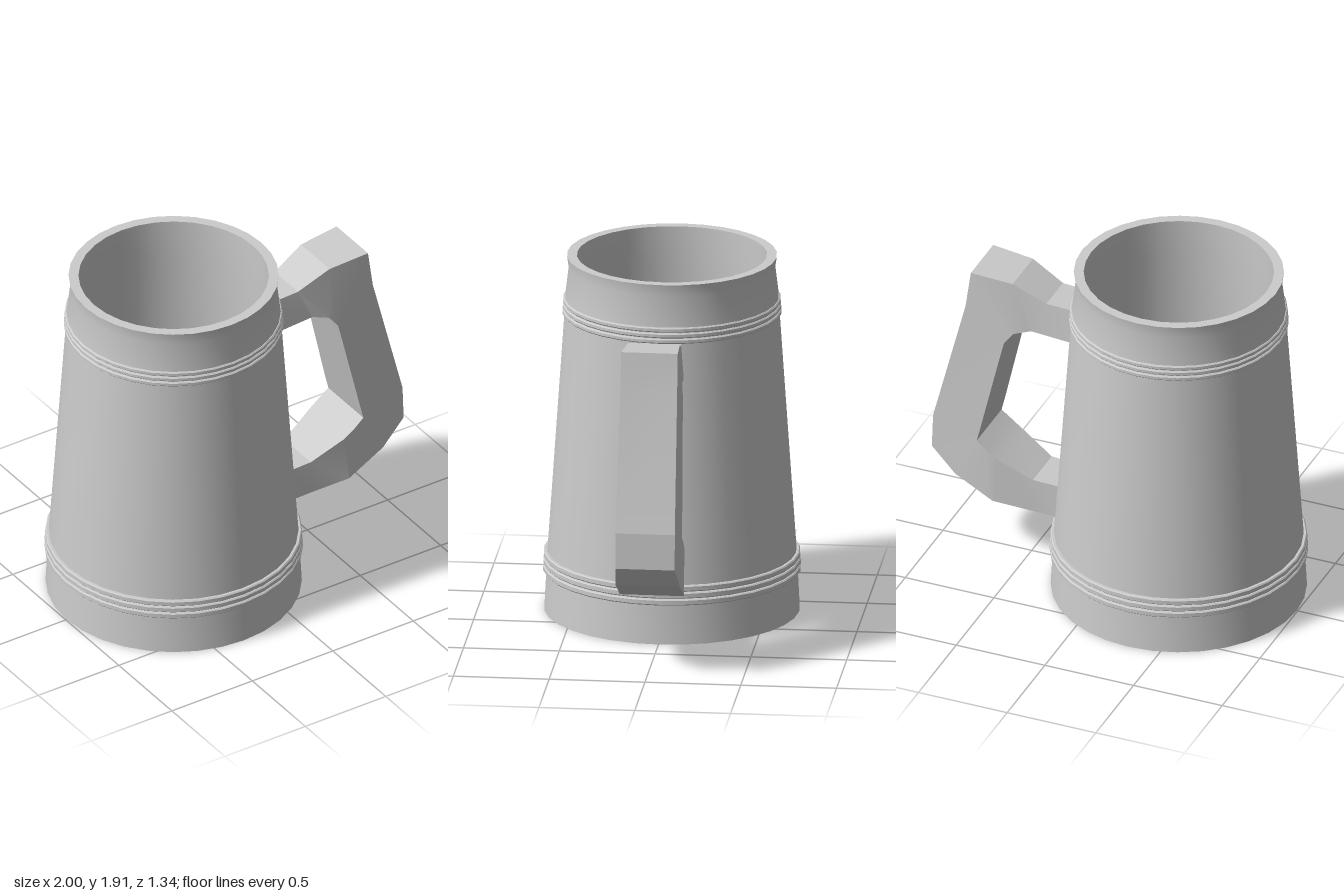
import * as THREE from 'three';
import { toCreasedNormals } from 'three/addons/utils/BufferGeometryUtils.js';

const CENTER_X = -0.33;
const SIDES = 32;

function lathe(name, profile, material) {
  const points = profile.map(([r, y]) => new THREE.Vector2(r, y));
  const geometry = toCreasedNormals(new THREE.LatheGeometry(points, SIDES), 0.45);
  const mesh = new THREE.Mesh(geometry, material);
  mesh.name = name;
  mesh.position.x = CENTER_X;
  return mesh;
}

// Three stacked ridges, each a band with bevelled edges
function ridgeBand(name, bottom, top, radius, inner, material) {
  const group = new THREE.Group();
  group.name = name;
  const pitch = (top - bottom) / 3;
  for (let i = 0; i < 3; i++) {
    const y0 = bottom + i * pitch + 0.002;
    const y1 = bottom + (i + 1) * pitch - 0.002;
    const r = radius - i * 0.002;
    group.add(lathe('ridge', [
      [inner, y0], [r - 0.006, y0], [r, y0 + 0.006],
      [r, y1 - 0.006], [r - 0.006, y1], [inner, y1],
    ], material));
  }
  return group;
}

// Rectangular section swept along the handle:
// outer x, outer y, outer half width, inner x, inner y, inner half width
const HANDLE_SECTIONS = [
  [0.19, 1.598, 0.105, 0.19, 1.408, 0.12],
  [0.37, 1.61, 0.11, 0.45, 1.43, 0.125],
  [0.55, 1.70, 0.135, 0.54, 1.405, 0.15],
  [0.78, 1.72, 0.148, 0.59, 1.34, 0.155],
  [0.81, 1.51, 0.148, 0.615, 1.24, 0.155],
  [0.99, 0.80, 0.155, 0.72, 0.79, 0.165],
  [0.997, 0.61, 0.155, 0.74, 0.71, 0.165],
  [0.86, 0.48, 0.168, 0.69, 0.67, 0.168],
  [0.65, 0.365, 0.168, 0.62, 0.62, 0.165],
  [0.45, 0.33, 0.125, 0.44, 0.52, 0.125],
  [0.26, 0.322, 0.12, 0.26, 0.51, 0.12],
];

function handleGeometry() {
  const positions = [];
  const index = [];
  HANDLE_SECTIONS.forEach(([ox, oy, ow, ix, iy, iw], i) => {
    positions.push(ox, oy, ow, ox, oy, -ow, ix, iy, -iw, ix, iy, iw);
    if (i === 0) return;
    for (let j = 0; j < 4; j++) {
      const k = (j + 1) % 4;
      const a = (i - 1) * 4 + j, d = (i - 1) * 4 + k;
      const b = i * 4 + j, c = i * 4 + k;
      index.push(a, b, d, b, c, d);
    }
  });
  // End caps, buried in the wall
  const e = (HANDLE_SECTIONS.length - 1) * 4;
  index.push(0, 1, 2, 0, 2, 3, e, e + 2, e + 1, e, e + 3, e + 2);
  const geometry = new THREE.BufferGeometry();
  geometry.setAttribute('position', new THREE.Float32BufferAttribute(positions, 3));
  geometry.setIndex(index);
  return toCreasedNormals(geometry, 0.2);
}

export function createModel() {
  const model = new THREE.Group();
  model.name = 'tankard';
  const material = new THREE.MeshStandardMaterial({ color: 0xcccccc });

  // Tapered hollow body with a slightly flared lip
  model.add(lathe('body', [
    [0, 0], [0.665, 0], [0.654, 0.215], [0.648, 0.32], [0.56, 1.60],
    [0.556, 1.69], [0.537, 1.85], [0.546, 1.915],
    [0.494, 1.915], [0.50, 1.70], [0.59, 0.12], [0, 0.12],
  ], material));

  model.add(ridgeBand('lowerBand', 0.21, 0.32, 0.671, 0.63, material));
  model.add(ridgeBand('upperBand', 1.60, 1.69, 0.57, 0.54, material));

  const handle = new THREE.Mesh(handleGeometry(), material);
  handle.name = 'handle';
  model.add(handle);

  return model;
}
